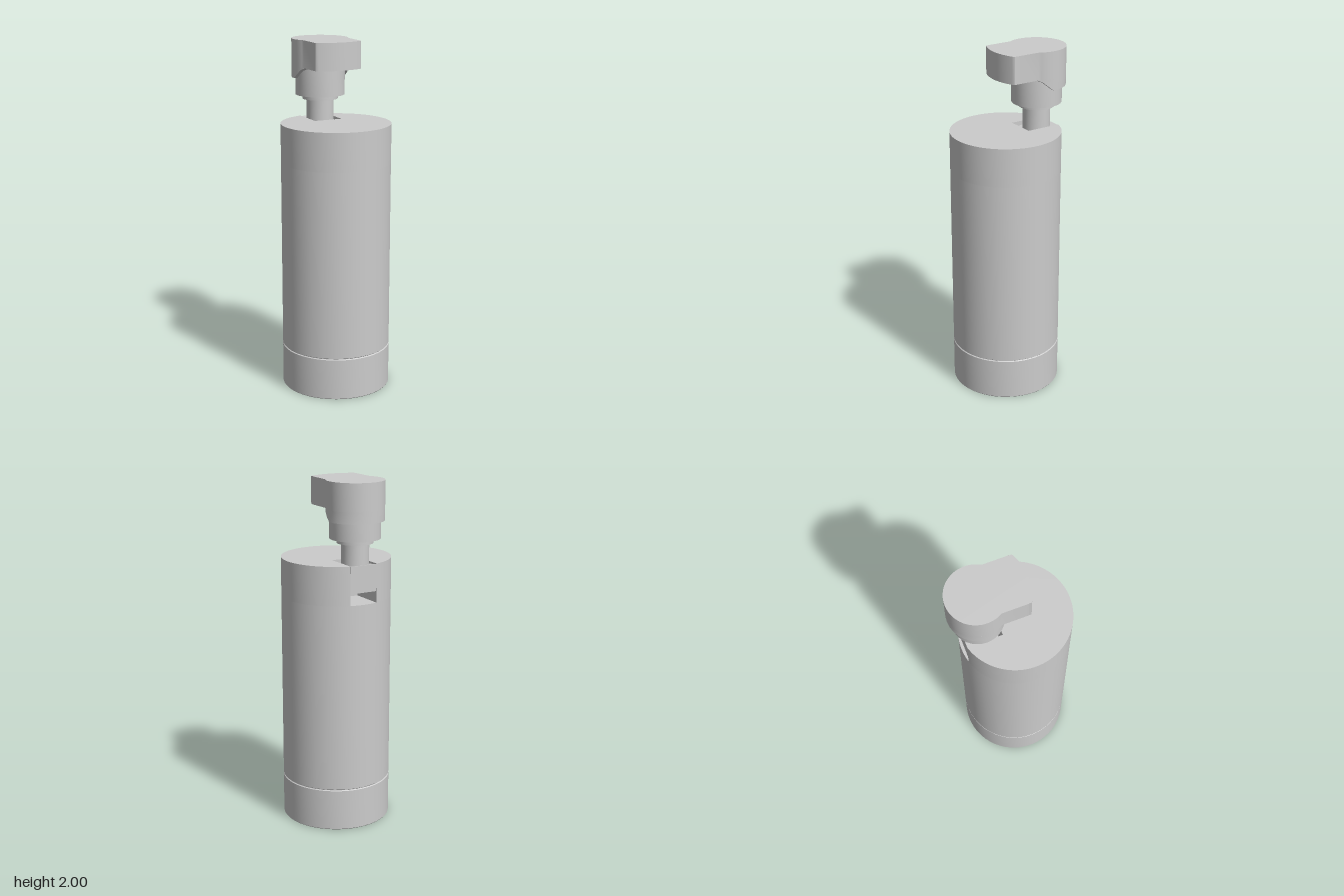
import * as THREE from 'three';
import { toCreasedNormals } from 'three/addons/utils/BufferGeometryUtils.js';

const BODY_R = 0.312, BODY_Z = 0.03, STEM_Z = -0.178;
const material = new THREE.MeshStandardMaterial({ color: 0xcccccc, side: THREE.DoubleSide });

function part(parent, name, geometry, x = 0, y = 0, z = 0) {
  const mesh = new THREE.Mesh(toCreasedNormals(geometry, 0.5), material);
  mesh.name = name;
  mesh.position.set(x, y, z);
  parent.add(mesh);
  return mesh;
}

// Revolve [radius, height] points about a vertical axis
function turned(points, segments = 48) {
  return new THREE.LatheGeometry(points.map(([r, y]) => new THREE.Vector2(r, y)), segments);
}

// Extrude a plan outline upwards; the outline's y runs towards the back (-z)
function upright(shape, height, curveSegments = 24) {
  return new THREE.ExtrudeGeometry(shape, { depth: height, bevelEnabled: false, curveSegments }).rotateX(-Math.PI / 2);
}

export function createModel() {
  const model = new THREE.Group();
  model.name = 'lighter';

  // Lower body: open hollow base, fine seam, and a flat top that floors the slot
  part(model, 'body', turned([
    [0, 0.3], [0.3, 0.3], [0.3, 0], [0.309, 0], [BODY_R, 0.004],
    [BODY_R, 0.238], [0.307, 0.242], [0.307, 0.244], [BODY_R, 0.248],
    [BODY_R, 1.325], [0, 1.325],
  ], 56), 0, 0, BODY_Z);

  // Upper body with a slot open to the back
  const slotW = 0.083, slotFront = 0.1;
  const a = Math.asin(slotW / BODY_R);
  const upper = new THREE.Shape();
  upper.moveTo(-slotW, slotFront);
  upper.lineTo(-slotW, BODY_R * Math.cos(a));
  upper.absarc(0, 0, BODY_R, Math.PI / 2 + a, Math.PI * 2.5 - a, false);
  upper.lineTo(slotW, slotFront);
  upper.closePath();
  part(model, 'slottedTop', upright(upper, 0.22, 56), 0, 1.325, BODY_Z);

  // Hinge block hanging in the slot, its top sloping down towards the front
  const side = new THREE.Shape();
  side.moveTo(0.27, 1.39);
  side.lineTo(0.27, 1.542);
  side.lineTo(0.09, 1.515);
  side.lineTo(0.09, 1.39);
  side.closePath();
  const block = new THREE.ExtrudeGeometry(side, { depth: 0.164, bevelEnabled: false });
  block.translate(0, 0, -0.082).rotateY(Math.PI / 2);
  part(model, 'hingeBlock', block);

  // Stem, hollow collar and neck
  part(model, 'stem', new THREE.CylinderGeometry(0.078, 0.078, 0.2, 32), 0, 1.6, STEM_Z);
  part(model, 'collar', turned([
    [0.078, 1.675], [0.088, 1.675], [0.088, 1.655], [0.102, 1.655], [0.102, 1.685],
  ], 32), 0, 0, STEM_Z);
  part(model, 'neck', turned([
    [0, 1.68], [0.142, 1.68], [0.142, 1.85], [0, 1.85],
  ], 32), 0, 0, STEM_Z);

  // Skirt behind the lever: its lower rim ramps up towards the front
  const skirt = new THREE.CylinderGeometry(0.163, 0.163, 0.065, 32, 1).translate(0, 1.8125, STEM_Z);
  const p = skirt.attributes.position;
  for (let i = 0; i < p.count; i++) {
    if (p.getY(i) < 1.8) {
      const ramp = THREE.MathUtils.clamp((p.getZ(i) + 0.175) / 0.075, 0, 1);
      p.setY(i, 1.78 + 0.065 * ramp);
    }
  }
  part(model, 'headSkirt', skirt);

  // Lever head: round at the back, straight sides, shallow curved nose
  const start = Math.acos(0.14 / 0.163);
  const lever = new THREE.Shape();
  lever.moveTo(0.14, -0.035);
  lever.lineTo(0.137, -0.042);
  lever.lineTo(0.14, -0.05);
  lever.lineTo(0.14, 0.178 - 0.163 * Math.sin(start));
  lever.absarc(0, 0.178, 0.163, -start, Math.PI + start, false);
  lever.lineTo(-0.14, -0.05);
  lever.lineTo(-0.137, -0.042);
  lever.lineTo(-0.14, -0.035);
  lever.lineTo(-0.14, -0.062);
  lever.lineTo(-0.136, -0.067);
  lever.quadraticCurveTo(0, -0.133, 0.136, -0.067);
  lever.lineTo(0.14, -0.062);
  lever.closePath();
  // Small grip nicks sit just behind the nose corners
  const outline = lever.getPoints(24).filter((q) => Math.abs(Math.abs(q.x) - 0.14) > 1e-6 || q.y !== -0.035);
  part(model, 'lever', upright(new THREE.Shape(outline), 0.155), 0, 1.845, 0);

  return model;
}
